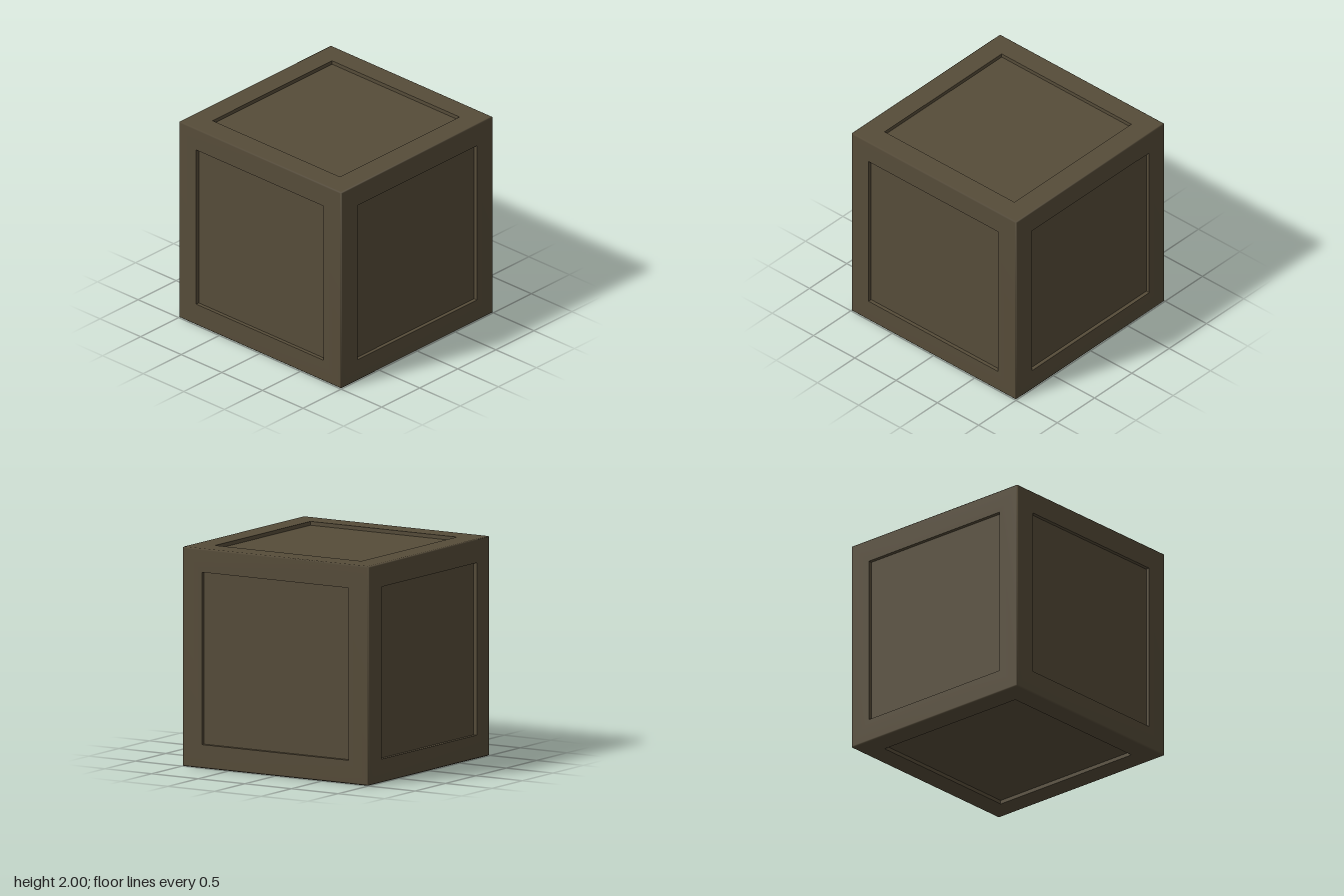
import * as THREE from 'three';
import { mergeGeometries, mergeVertices } from 'three/addons/utils/BufferGeometryUtils.js';

const HALF = 1, BEVEL = 0.015, OPENING = 0.785, DEPTH = 0.035;

// Square bands joining loops of [half width, height], facing +z
function squareBands(loops) {
  const positions = [], index = [];
  for (const [r, h] of loops) positions.push(-r, -r, h, r, -r, h, r, r, h, -r, r, h);
  for (let l = 0; l < loops.length - 1; l++) {
    for (let i = 0; i < 4; i++) {
      const a = l * 4 + i, b = l * 4 + (i + 1) % 4;
      index.push(a, b, b + 4, a, b + 4, a + 4);
    }
  }
  const geometry = new THREE.BufferGeometry();
  geometry.setAttribute('position', new THREE.Float32BufferAttribute(positions, 3));
  geometry.setIndex(index);
  return geometry;
}

// Rotations that carry the +z side onto each side of the cube
const sides = {
  front: [0, 0], right: [0, -Math.PI / 2], back: [0, Math.PI], left: [0, Math.PI / 2],
  top: [-Math.PI / 2, 0], bottom: [Math.PI / 2, 0],
};

export function createModel() {
  const model = new THREE.Group();
  model.name = 'crate';
  const wood = new THREE.MeshStandardMaterial({ color: 0x564c39 });
  wood.name = 'dark olive wood';

  const add = (name, geometry) => {
    const mesh = new THREE.Mesh(geometry, wood);
    mesh.name = name;
    mesh.position.y = HALF;
    model.add(mesh);
  };

  const frames = [];
  for (const [side, [rx, ry]] of Object.entries(sides)) {
    const turn = new THREE.Matrix4().makeRotationFromEuler(new THREE.Euler(rx, ry, 0));
    const edge = HALF - BEVEL * 0.4;

    // Border with softened outer edge
    frames.push(squareBands([[edge, edge], [HALF - BEVEL, HALF], [OPENING, HALF]]).applyMatrix4(turn));

    // Square step down to the panel
    const step = squareBands([[OPENING, HALF], [OPENING, HALF - DEPTH]]).toNonIndexed();
    step.computeVertexNormals();
    add(side + 'Step', step.applyMatrix4(turn));

    // Flat recessed panel
    const panel = new THREE.PlaneGeometry(OPENING * 2, OPENING * 2);
    panel.translate(0, 0, HALF - DEPTH);
    add(side + 'Panel', panel.applyMatrix4(turn));
  }

  // One frame, welded so the cube's edges shade smoothly
  const frame = mergeVertices(mergeGeometries(frames), 1e-4);
  frame.computeVertexNormals();
  add('frame', frame);
  return model;
}
